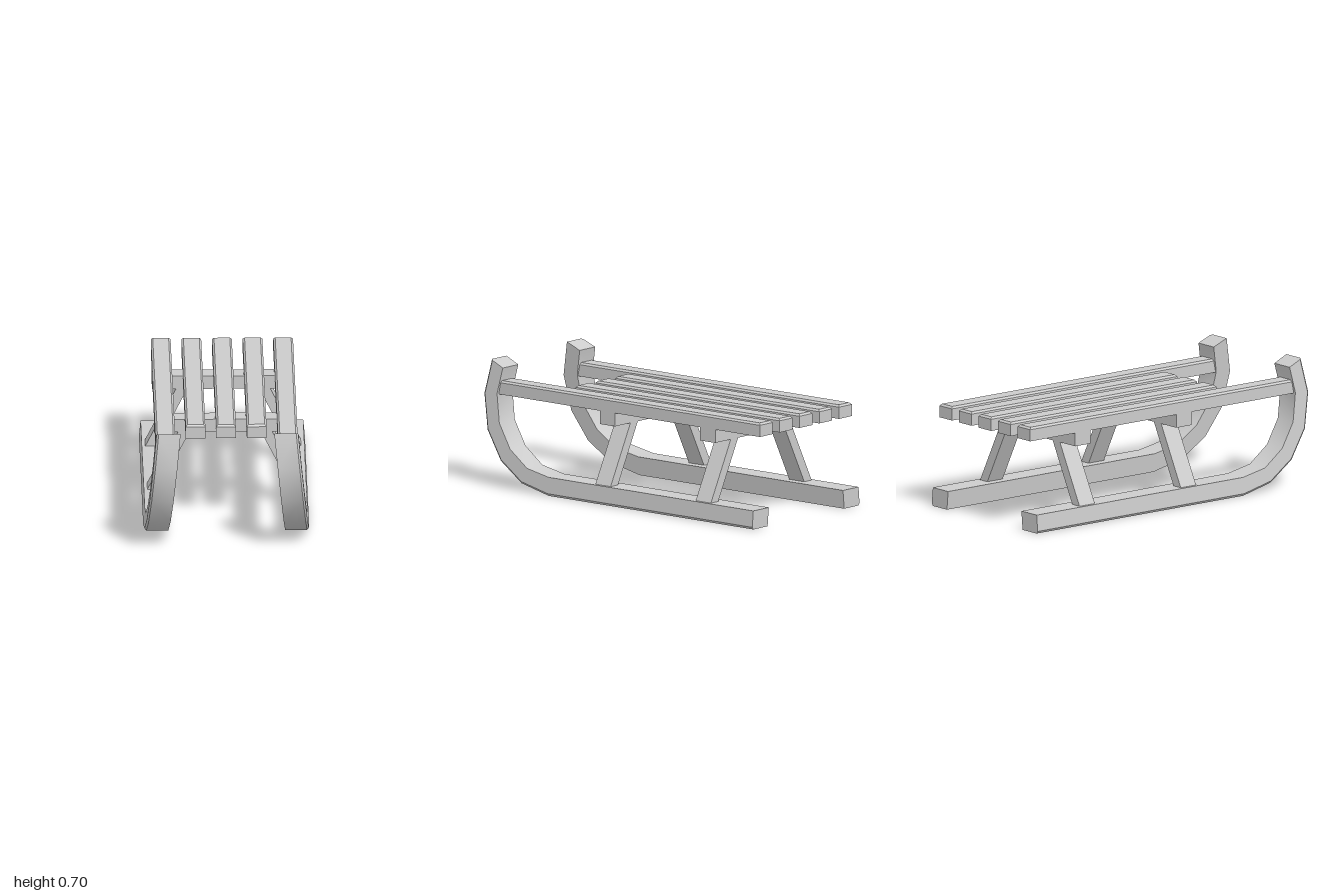
import * as THREE from 'three';
import { toCreasedNormals } from 'three/addons/utils/BufferGeometryUtils.js';

const wood = new THREE.MeshStandardMaterial({ color: 0xcccccc });
wood.name = 'grey wood';

// Capped solid through equal-sized convex rings of [x, y, z]; winding is fixed by signed volume.
function loft(rings) {
  const n = rings[0].length, pts = rings.flat(), index = [];
  for (let r = 0; r < rings.length - 1; r++) {
    for (let i = 0; i < n; i++) {
      const a = r * n + i, b = r * n + (i + 1) % n;
      index.push(a, b, b + n, a, b + n, a + n);
    }
  }
  const last = (rings.length - 1) * n;
  for (let i = 1; i < n - 1; i++) {
    index.push(0, i + 1, i, last, last + i, last + i + 1);
  }
  let volume = 0;
  const v = pts.map((p) => new THREE.Vector3(...p));
  for (let i = 0; i < index.length; i += 3) {
    volume += v[index[i]].dot(v[index[i + 1]].clone().cross(v[index[i + 2]]));
  }
  if (volume < 0) index.reverse();
  const g = new THREE.BufferGeometry();
  g.setAttribute('position', new THREE.Float32BufferAttribute(pts.flat(), 3));
  g.setIndex(index);
  return toCreasedNormals(g, 0.58);
}

// Rectangle ring in the horizontal plane
const rect = (x0, x1, y, z0, z1) => [[x0, y, z0], [x1, y, z0], [x1, y, z1], [x0, y, z1]];

// Seat slat with a chamfered top
function slat(x, z1) {
  const w = 0.055, c = 0.011;
  return loft([
    rect(x - w, x + w, 0.515, -1, z1),
    rect(x - w, x + w, 0.581, -1, z1),
    rect(x - w + c, x + w - c, 0.592, -1 + c, z1 - c),
  ]);
}

// Curved runner: matching [z, y] points of the ground side and the upper side
const SOLE = [[-1, 0], [0.49, 0], [0.69, 0.045], [0.85, 0.15], [0.96, 0.31], [1, 0.51], [0.96, 0.705]];
const UPPER = [[-1, 0.105], [0.49, 0.105], [0.65, 0.135], [0.78, 0.225], [0.87, 0.36], [0.9, 0.52], [0.87, 0.667]];

function runner(side) {
  // x leans inward with height
  const at = (x, z, y) => [side * (x - 0.098 * y), y, z];
  return loft(SOLE.map(([z, y], i) => {
    const [uz, uy] = UPPER[i], k = 0.13;
    return [
      at(0.329, z, y),
      at(0.451, z, y),
      at(0.462, z + (uz - z) * k, y + (uy - y) * k),
      at(0.462, uz, uy),
      at(0.329, uz, uy),
    ];
  }));
}

// Slanted leg between crossbeam and runner
const leg = (side, z) => loft([
  rect(side * 0.372, side * 0.435, 0.1, z - 0.055, z + 0.055),
  rect(side * 0.198, side * 0.261, 0.442, z - 0.055, z + 0.055),
]);

export function createModel() {
  const model = new THREE.Group();
  model.name = 'sled';
  const add = (name, geometry) => {
    const mesh = new THREE.Mesh(geometry, wood);
    mesh.name = name;
    model.add(mesh);
    return mesh;
  };

  // Seat
  for (const x of [-0.17, 0, 0.17]) add('seatSlat', slat(x, 0.485));

  // Runners and the long rails that meet their curled tips
  for (const side of [-1, 1]) {
    const label = side > 0 ? 'left' : 'right';
    add(label + 'Runner', runner(side));
    add(label + 'Rail', slat(side * 0.34, 0.9));
  }

  // Crossbeams with their legs
  for (const z of [0.11, -0.62]) {
    add('crossbeam', new THREE.BoxGeometry(0.79, 0.075, 0.11)).position.set(0, 0.4775, z);
    for (const side of [-1, 1]) add(side > 0 ? 'leftLeg' : 'rightLeg', leg(side, z));
  }
  return model;
}
